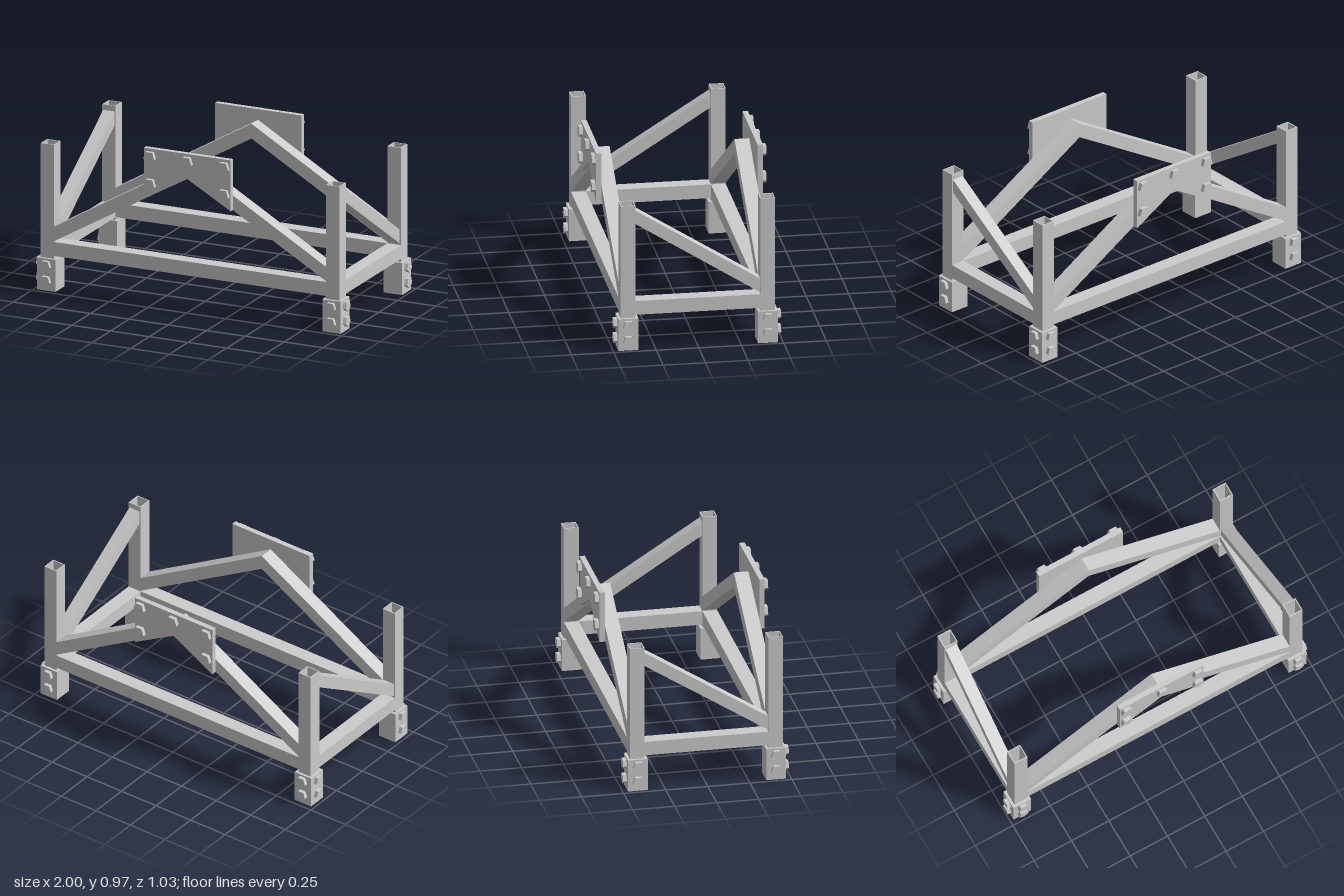
import * as THREE from 'three';

const mat = new THREE.MeshStandardMaterial({ color: 0xcccccc, flatShading: true });
const X = 0.92, Z = 0.411, T = 0.087; // post centres and tube size

function add(parent, name, geometry, x = 0, y = 0, z = 0) {
  const mesh = new THREE.Mesh(geometry, mat);
  mesh.name = name;
  mesh.position.set(x, y, z);
  parent.add(mesh);
  return mesh;
}

// Flat outline in x/y given a thickness centred on z = 0
function slab(points, depth) {
  const shape = new THREE.Shape(points.map(([x, y]) => new THREE.Vector2(x, y)));
  return new THREE.ExtrudeGeometry(shape, { depth, bevelEnabled: false }).translate(0, 0, -depth / 2);
}

// Open square tube standing on y = 0
function squareTube(size, wall, height) {
  const square = (s, C) => new C([[-s, -s], [s, -s], [s, s], [-s, s]].map(([x, y]) => new THREE.Vector2(x, y)));
  const shape = square(size / 2, THREE.Shape);
  shape.holes.push(square(size / 2 - wall, THREE.Path));
  return new THREE.ExtrudeGeometry(shape, { depth: height, bevelEnabled: false }).rotateX(-Math.PI / 2);
}

// Five-sided bolt head pointing along +z, one corner down
function boltHead(radius, height) {
  return new THREE.CylinderGeometry(radius, radius, height, 5).rotateX(Math.PI / 2);
}

// One long side with its gable, plate and rail, facing +z
function makeSide() {
  const side = new THREE.Group();
  add(side, 'longRail', new THREE.BoxGeometry(2 * X - T, 0.085, T), 0, 0.256, Z);
  for (const s of [-1, 1]) {
    const pts = [[s * 0.88, 0.302], [0, 0.815], [0, 0.905], [s * 0.88, 0.39]];
    add(side, 'gableBrace', slab(pts, T), 0, 0, Z);
  }
  // Gusset plate notched along the underside of the braces
  const plate = [[-0.28, 0.657], [0, 0.815], [0.28, 0.657], [0.28, 0.968], [-0.28, 0.968]];
  add(side, 'gussetPlate', slab(plate, 0.032), 0, 0, 0.475);
  for (const [x, y] of [[-0.238, 0.92], [0, 0.92], [0.238, 0.92], [-0.238, 0.753], [0.238, 0.753]]) {
    add(side, 'plateBolt', boltHead(0.038, 0.024), x, y, 0.502);
  }
  return side;
}

// One short end with its rail and diagonal, facing +x
function makeEnd() {
  const end = new THREE.Group();
  add(end, 'endRail', new THREE.BoxGeometry(T, 0.085, 2 * Z - T), X, 0.256, 0);
  const pts = [[-0.368, 0.775], [0.368, 0.308], [0.368, 0.393], [-0.368, 0.858]];
  add(end, 'endDiagonal', slab(pts, 0.074), X, 0, 0).rotation.y = Math.PI / 2;
  return end;
}

export function createModel() {
  const model = new THREE.Group();
  model.name = 'frame';

  // Sides and ends repeat by a half turn
  for (const turn of [0, Math.PI]) {
    const side = makeSide(), end = makeEnd();
    side.name = turn ? 'backSide' : 'frontSide';
    end.name = turn ? 'rightEnd' : 'leftEnd';
    side.rotation.y = end.rotation.y = turn;
    model.add(side, end);
  }

  // Corner posts on bolted feet
  for (const sx of [-1, 1]) for (const sz of [-1, 1]) {
    const leg = new THREE.Group();
    leg.name = (sz > 0 ? 'front' : 'back') + (sx > 0 ? 'Left' : 'Right') + 'Leg';
    leg.position.set(sx * X, 0, sz * Z);
    model.add(leg);
    add(leg, 'post', squareTube(T, 0.006, 0.697), 0, 0.194, 0);
    add(leg, 'foot', new THREE.BoxGeometry(0.118, 0.196, 0.118), 0, 0.098, 0);
    for (const y of [0.063, 0.157]) {
      add(leg, 'footBolt', boltHead(0.033, 0.024), 0, y, sz * 0.07);
      add(leg, 'footBolt', boltHead(0.033, 0.024), sx * 0.069, y, 0).rotation.y = Math.PI / 2;
    }
  }
  return model;
}
